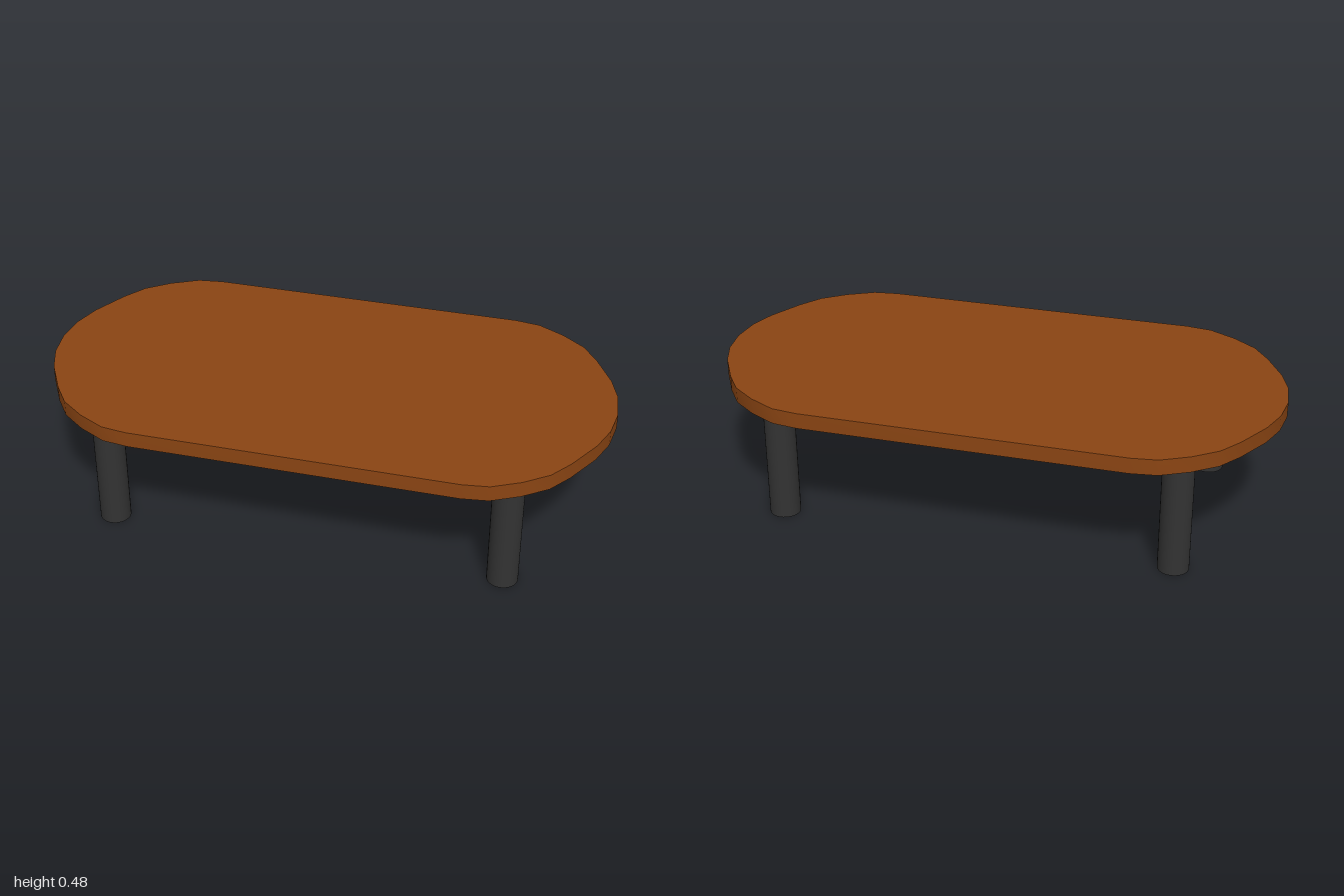
import * as THREE from 'three';
import { toCreasedNormals } from 'three/addons/utils/BufferGeometryUtils.js';

const TOP_Y = 0.483, UNDER_Y = 0.427;
const LEG_RADIUS = 0.054, LEG_X = 0.697, LEG_Z = 0.363;

// One quarter of the tabletop outline, from the end to the straight side
const QUARTER = [
  [1, 0], [0.988, 0.105], [0.955, 0.2], [0.888, 0.322], [0.832, 0.4],
  [0.75, 0.462], [0.655, 0.511], [0.565, 0.523],
];

// Mirror the quarter into a full counter-clockwise outline
function tabletopShape() {
  const half = [...QUARTER, ...QUARTER.map(([x, y]) => [-x, y]).reverse()];
  const other = half.slice(1, -1).map(([x, y]) => [-x, -y]);
  return new THREE.Shape([...half, ...other].map(([x, y]) => new THREE.Vector2(x, y)));
}

export function createModel() {
  const wood = new THREE.MeshStandardMaterial({ name: 'brown wood', color: 0x8b4513 });
  const metal = new THREE.MeshStandardMaterial({ name: 'dark metal', color: 0x333333 });
  const table = new THREE.Group();
  table.name = 'coffeeTable';

  // Tabletop: flat slab with a smooth rim
  const slab = new THREE.ExtrudeGeometry(tabletopShape(), { depth: TOP_Y - UNDER_Y, bevelEnabled: false });
  slab.rotateX(-Math.PI / 2);
  const tabletop = new THREE.Mesh(toCreasedNormals(slab, Math.PI / 4), wood);
  tabletop.name = 'tabletop';
  tabletop.position.y = UNDER_Y;
  table.add(tabletop);

  // Four round legs
  const legGeometry = new THREE.CylinderGeometry(LEG_RADIUS, LEG_RADIUS, UNDER_Y, 32);
  for (const [sx, xName] of [[1, 'Left'], [-1, 'Right']]) {
    for (const [sz, zName] of [[1, 'front'], [-1, 'back']]) {
      const leg = new THREE.Mesh(legGeometry, metal);
      leg.name = `${zName}${xName}Leg`;
      leg.position.set(sx * LEG_X, UNDER_Y / 2, sz * LEG_Z);
      table.add(leg);
    }
  }
  return table;
}
